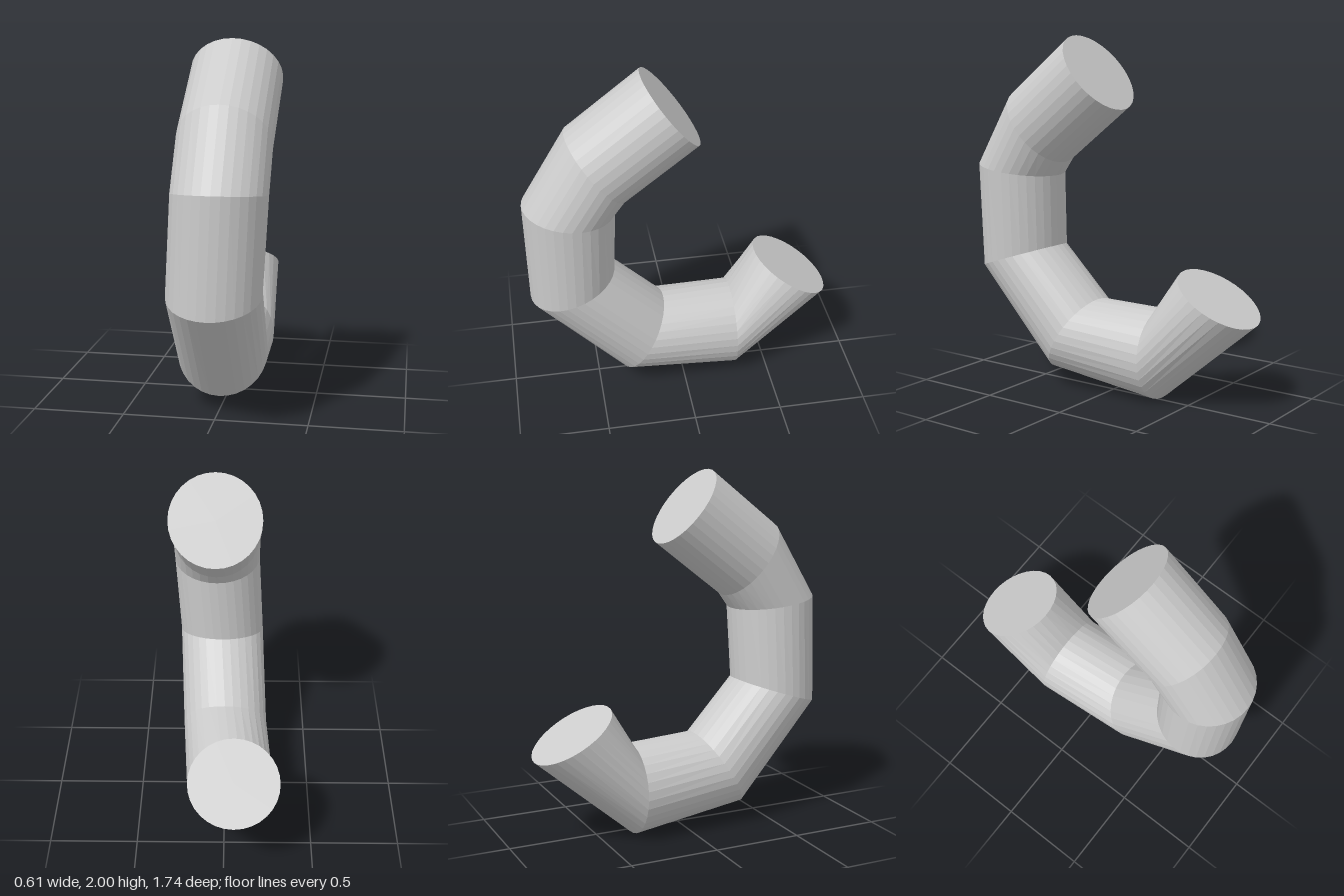
import * as THREE from 'three';

const SIDES = 32;
const RADIUS = 0.25;

// Joints of the bent pipe: centre x, then outer and inner bend points as [y, z]
const JOINTS = [
  { x: 0.05, outer: [2.0, 0.22], inner: [1.6, -0.09] },
  { x: 0.05, outer: [1.69, 0.62], inner: [1.29, 0.31] },
  { x: 0.05, outer: [1.275, 0.87], inner: [1.21, 0.37] },
  { x: 0.022, outer: [0.645, 0.865], inner: [0.8, 0.385] },
  { x: 0.0, outer: [0.085, 0.365], inner: [0.515, 0.105] },
  { x: -0.035, outer: [0.0, -0.31], inner: [0.505, -0.295] },
  { x: -0.055, outer: [0.48, -0.867], inner: [0.74, -0.44] },
];

// Circle of points around one joint
function ring({ x, outer, inner }) {
  const centre = new THREE.Vector3(x, (outer[0] + inner[0]) / 2, (outer[1] + inner[1]) / 2);
  const across = new THREE.Vector3(0, (outer[0] - inner[0]) / 2, (outer[1] - inner[1]) / 2);
  const points = [];
  for (let j = 0; j < SIDES; j++) {
    const a = (j / SIDES) * Math.PI * 2;
    const p = centre.clone().addScaledVector(across, Math.sin(a));
    p.x += Math.cos(a) * RADIUS;
    points.push(p);
  }
  return { centre, points };
}

function meshFrom(name, triangles, material) {
  const geometry = new THREE.BufferGeometry().setFromPoints(triangles);
  geometry.computeVertexNormals();
  const mesh = new THREE.Mesh(geometry, material);
  mesh.name = name;
  return mesh;
}

export function createModel() {
  const group = new THREE.Group();
  group.name = 'bentPipe';
  const material = new THREE.MeshStandardMaterial({ color: 0xcccccc, flatShading: true });
  const rings = JOINTS.map(ring);

  // Straight segments between neighbouring joints
  for (let i = 0; i < rings.length - 1; i++) {
    const a = rings[i].points, b = rings[i + 1].points;
    const triangles = [];
    for (let j = 0; j < SIDES; j++) {
      const k = (j + 1) % SIDES;
      triangles.push(a[j], a[k], b[j], a[k], b[k], b[j]);
    }
    group.add(meshFrom(`pipeSegment${i + 1}`, triangles, material));
  }

  // Flat discs closing both ends
  const cap = (name, { centre, points }, flip) => {
    const triangles = [];
    for (let j = 0; j < SIDES; j++) {
      const p = points[j], q = points[(j + 1) % SIDES];
      triangles.push(centre, flip ? q : p, flip ? p : q);
    }
    group.add(meshFrom(name, triangles, material));
  };
  cap('upperEndCap', rings[0], true);
  cap('lowerEndCap', rings[rings.length - 1], false);

  return group;
}
